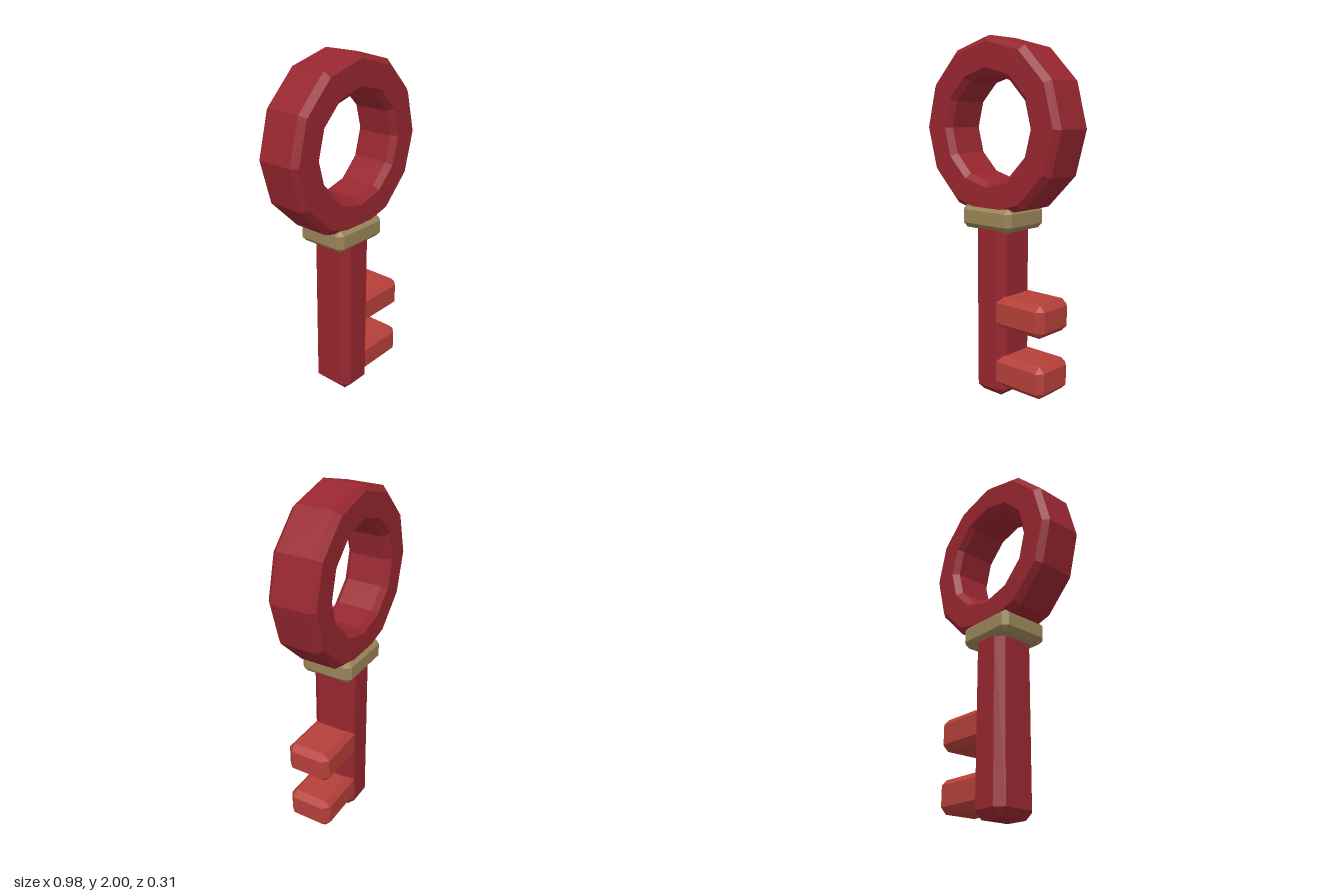
import * as THREE from 'three';
import { ConvexGeometry } from 'three/addons/geometries/ConvexGeometry.js';

const material = (color) => new THREE.MeshStandardMaterial({ color, flatShading: true });

// Box with a single flat chamfer on every edge
function chamferBox(w, h, d, b) {
  const points = [];
  const [x, y, z] = [w / 2, h / 2, d / 2];
  for (const sx of [-1, 1]) for (const sy of [-1, 1]) for (const sz of [-1, 1]) {
    points.push(
      new THREE.Vector3(sx * x, sy * (y - b), sz * (z - b)),
      new THREE.Vector3(sx * (x - b), sy * y, sz * (z - b)),
      new THREE.Vector3(sx * (x - b), sy * (y - b), sz * z)
    );
  }
  return new ConvexGeometry(points);
}

export function createModel() {
  const key = new THREE.Group();
  key.name = 'key';
  const red = material(0x97262f);
  const lightRed = material(0xb53f39);
  const brass = material(0x9a8458);

  const add = (name, geometry, mat, x, y) => {
    const mesh = new THREE.Mesh(geometry, mat);
    mesh.name = name;
    mesh.position.set(x, y, 0);
    key.add(mesh);
    return mesh;
  };

  // Twelve-sided ring handle with chamfered rims
  const outer = 0.49, inner = 0.29, half = 0.137, b = 0.032;
  const profile = [
    [inner + b, -half], [outer - b, -half], [outer, -half + b], [outer, half - b],
    [outer - b, half], [inner + b, half], [inner, half - b], [inner, -half + b],
    [inner + b, -half],
  ].map(([r, y]) => new THREE.Vector2(r, y));
  const ring = add('ringHandle', new THREE.LatheGeometry(profile, 12), red, 0, 1.51);
  ring.rotation.x = Math.PI / 2;

  // Collar between handle and shaft
  add('collar', chamferBox(0.364, 0.132, 0.312, 0.029), brass, 0, 1.022);

  // Shaft, its top tucked into the collar
  add('shaft', chamferBox(0.224, 1.05, 0.264, 0.044), red, 0, 0.525);

  // Two teeth on the left side
  [['lowerTooth', 0.155], ['upperTooth', 0.496]].forEach(([name, y]) => {
    add(name, chamferBox(0.387, 0.184, 0.262, 0.034), lightRed, 0.1935, y);
  });

  return key;
}
